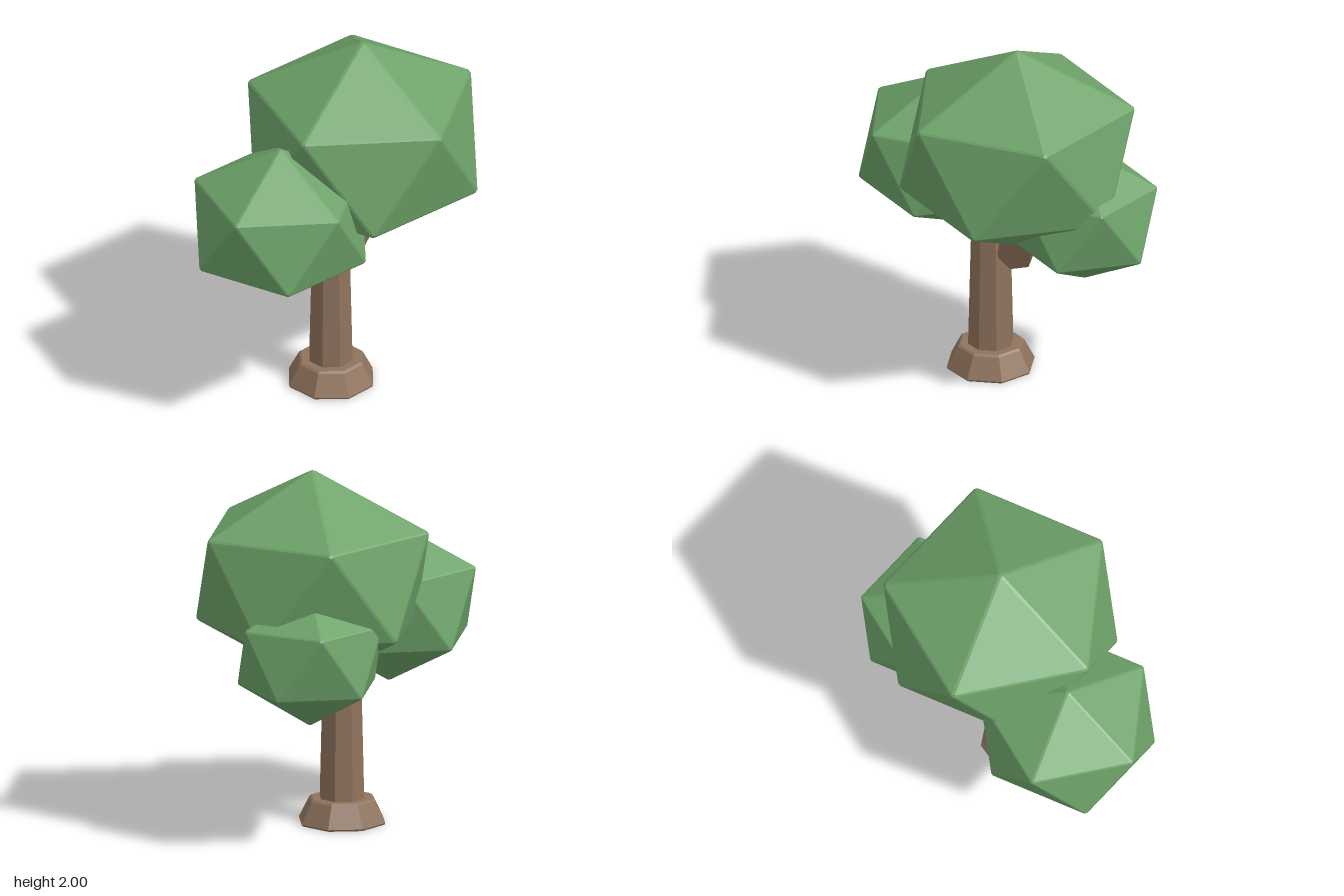
import * as THREE from 'three';
import { ConvexGeometry } from 'three/addons/geometries/ConvexGeometry.js';

const leaf = new THREE.MeshStandardMaterial({ color: 0x6ea36a, flatShading: true });
const wood = new THREE.MeshStandardMaterial({ color: 0x8f735d, flatShading: true });

// Icosahedron standing on a point, with narrow bevelled edges:
// each face is shrunk a little and the hull closes the gaps.
function leafGeometry(ringRadius, halfHeight, inset = 0.04) {
  const ringY = halfHeight / Math.sqrt(5);
  const ring = (start, y) => Array.from({ length: 5 }, (_, k) => {
    const a = start + k * Math.PI * 0.4;
    return new THREE.Vector3(Math.cos(a) * ringRadius, y, Math.sin(a) * ringRadius);
  });
  const upper = ring(0, ringY);
  const lower = ring(Math.PI / 5, -ringY);
  const top = new THREE.Vector3(0, halfHeight, 0);
  const bottom = new THREE.Vector3(0, -halfHeight, 0);
  const points = [];
  for (let k = 0; k < 5; k++) {
    const n = (k + 1) % 5;
    const faces = [
      [top, upper[k], upper[n]],
      [upper[k], lower[k], upper[n]],
      [lower[k], lower[n], upper[n]],
      [bottom, lower[k], lower[n]],
    ];
    for (const face of faces) {
      const centre = new THREE.Vector3();
      face.forEach((p) => centre.addScaledVector(p, 1 / 3));
      face.forEach((p) => points.push(p.clone().lerp(centre, inset)));
    }
  }
  return new ConvexGeometry(points);
}

// Eight-sided solid from a [radius, height] profile
function turned(profile, sides) {
  return new THREE.LatheGeometry(profile.map(([r, y]) => new THREE.Vector2(r, y)), sides);
}

export function createModel() {
  const tree = new THREE.Group();
  tree.name = 'tree';
  const add = (name, geometry, material, x, y, z) => {
    const mesh = new THREE.Mesh(geometry, material);
    mesh.name = name;
    mesh.position.set(x, y, z);
    tree.add(mesh);
    return mesh;
  };

  // Trunk with flared foot
  add('trunkBase', turned([[0, 0], [0.24, 0], [0.245, 0.01], [0.185, 0.128], [0.172, 0.138], [0, 0.138]], 8),
    wood, -0.015, 0, 0.09);
  add('trunk', turned([[0, 0.1], [0.127, 0.1], [0.104, 1.05], [0, 1.05]], 8), wood, -0.015, 0, 0.09);

  // Side branch leaning toward the small clump
  const branch = add('branch',
    turned([[0, 0], [0.096, 0], [0.105, 0.01], [0.105, 0.42], [0, 0.42]], 6), wood, 0.074, 0.69, -0.025);
  branch.rotation.z = -Math.PI / 6;

  // Leaf clumps
  add('mainFoliage', leafGeometry(0.638, 0.593), leaf, 0.21, 1.415, 0);
  add('rightFoliage', leafGeometry(0.476, 0.449), leaf, -0.38, 1.157, 0.245);
  add('leftFoliage', leafGeometry(0.396, 0.391), leaf, 0.395, 1.066, -0.328);

  return tree;
}
